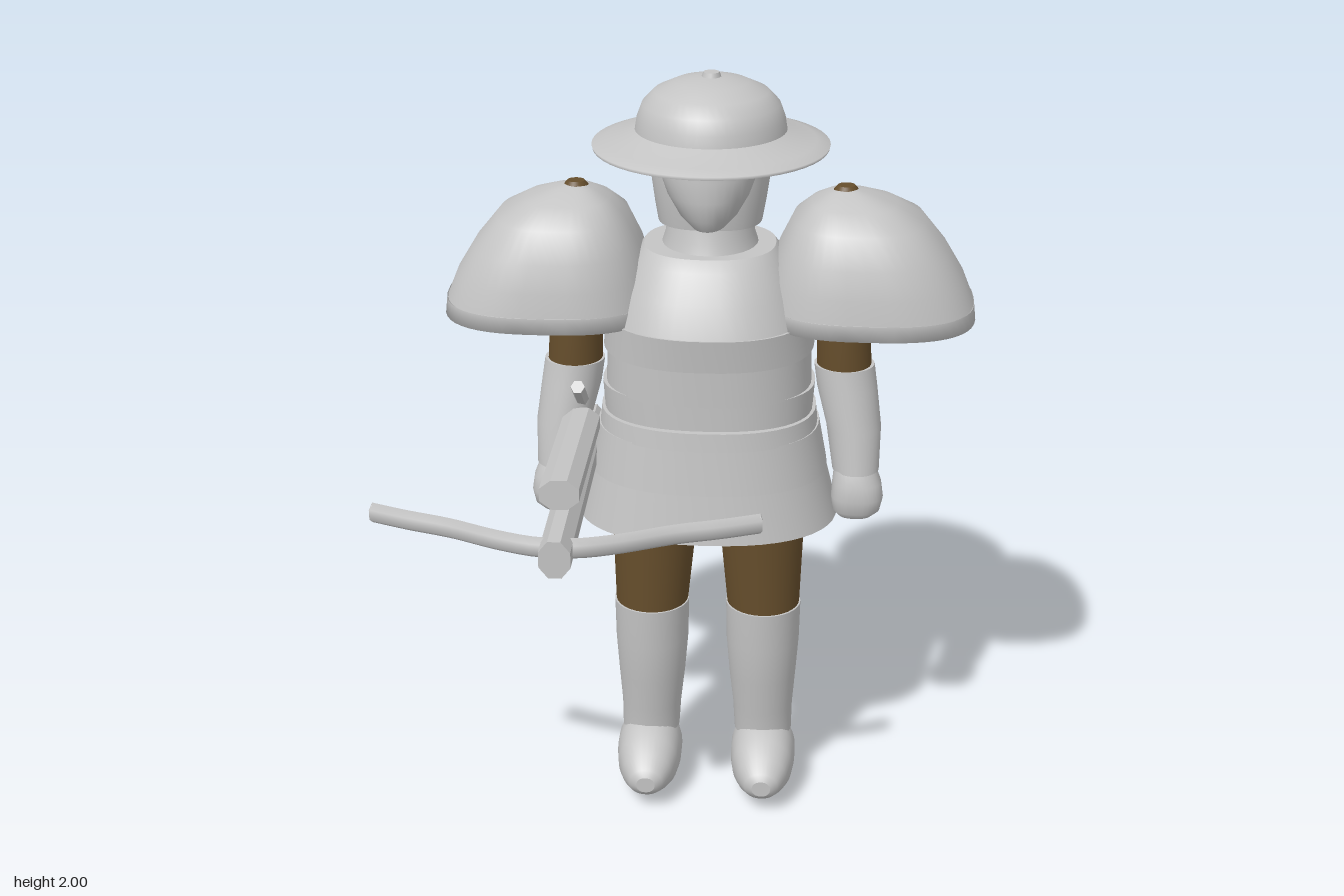
import * as THREE from 'three';

const steel = new THREE.MeshStandardMaterial({ color: 0xc4c4c4, side: THREE.DoubleSide });
steel.name = 'steel grey';
const cloth = new THREE.MeshStandardMaterial({ color: 0x664e2c, side: THREE.DoubleSide });
cloth.name = 'brown cloth';

const CX = 0.065, CZ = -0.19; // body axis

function add(parent, name, geometry, material = steel) {
  const mesh = new THREE.Mesh(geometry, material);
  mesh.name = name;
  parent.add(mesh);
  return mesh;
}

// Skin rounded cross-sections, listed top to bottom as [y, cx, cz, rx, rz]
function loft(rings, { power = 2, sides = 32, top = true, bottom = true } = {}) {
  const pos = [], idx = [];
  const bend = (v) => Math.sign(v) * Math.abs(v) ** (2 / power);
  const ring = ([y, cx, cz, rx, rz]) => {
    for (let i = 0; i < sides; i++) {
      const a = (i / sides) * Math.PI * 2;
      pos.push(cx + rx * bend(Math.cos(a)), y, cz + rz * bend(Math.sin(a)));
    }
  };
  rings.forEach(ring);
  for (let r = 0; r < rings.length - 1; r++) {
    for (let i = 0; i < sides; i++) {
      const j = (i + 1) % sides, a = r * sides, b = a + sides;
      idx.push(a + i, a + j, b + i, a + j, b + j, b + i);
    }
  }
  const cap = (r, up) => {
    const start = pos.length / 3;
    ring(r);
    pos.push(r[1], r[0], r[2]);
    for (let i = 0; i < sides; i++) {
      const j = (i + 1) % sides;
      idx.push(start + sides, start + (up ? j : i), start + (up ? i : j));
    }
  };
  if (top) cap(rings[0], true);
  if (bottom) cap(rings[rings.length - 1], false);
  const g = new THREE.BufferGeometry();
  g.setAttribute('position', new THREE.Float32BufferAttribute(pos, 3));
  g.setIndex(idx);
  g.computeVertexNormals();
  return g;
}

// Ring from front and back z limits, centred on the body
const span = (y, rx, front, back) => [y, CX, (front + back) / 2, rx, (front - back) / 2];

function lathe(points, sides = 48) {
  return new THREE.LatheGeometry(points.map(([x, y]) => new THREE.Vector2(x, y)), sides);
}

function buildHelmet() {
  const helmet = new THREE.Group();
  helmet.name = 'helmet';
  helmet.position.set(CX, 0, CZ);
  helmet.scale.z = 1.055;
  add(helmet, 'brimUnderside', lathe([[0.12, 1.835], [0.291, 1.818]]));
  add(helmet, 'brim', lathe([[0.291, 1.818], [0.293, 1.826], [0.26, 1.836], [0.22, 1.848], [0.187, 1.862]]));
  add(helmet, 'dome', lathe([[0.187, 1.86], [0.182, 1.89], [0.169, 1.925], [0.14, 1.955], [0.09, 1.978], [0.04, 1.988], [0, 1.99]]));
  add(helmet, 'knob', new THREE.CylinderGeometry(0.02, 0.026, 0.018, 12)).position.y = 1.991;
  return helmet;
}

function buildHead() {
  const head = new THREE.Group();
  head.name = 'head';
  add(head, 'hood', loft([
    span(1.845, 0.148, -0.06, -0.36), span(1.75, 0.148, -0.062, -0.36),
    span(1.68, 0.138, -0.068, -0.35), span(1.635, 0.13, -0.075, -0.335),
  ], { power: 2.6 }));
  add(head, 'face', loft([
    span(1.835, 0.122, 0.012, -0.2), span(1.78, 0.118, 0.014, -0.2), span(1.73, 0.1, 0.018, -0.2),
    span(1.68, 0.072, 0.006, -0.2), span(1.65, 0.045, -0.015, -0.2),
  ]));
  add(head, 'neck', loft([
    span(1.65, 0.105, -0.08, -0.31), span(1.6, 0.112, -0.07, -0.32), span(1.56, 0.125, -0.055, -0.335),
  ]));
  for (const s of [-1, 1]) {
    const eye = add(head, 'eye', new THREE.SphereGeometry(1, 16, 8));
    eye.scale.set(0.032, 0.009, 0.012);
    eye.position.set(CX + s * 0.062, 1.796, -0.008);
    eye.rotation.y = s * 0.3;
    const brow = add(head, 'brow', new THREE.BoxGeometry(0.07, 0.008, 0.02));
    brow.position.set(CX + s * 0.062, 1.812, -0.004);
    brow.rotation.set(0, s * 0.3, s * 0.1);
  }
  return head;
}

function buildTorso() {
  const torso = new THREE.Group();
  torso.name = 'torso';
  const opts = { power: 2.35, sides: 48 };
  add(torso, 'breastplate', loft([
    span(1.575, 0.165, -0.03, -0.345), span(1.55, 0.185, 0.0, -0.365), span(1.48, 0.222, 0.05, -0.395),
    span(1.4, 0.25, 0.08, -0.405),
  ], opts));
  add(torso, 'chestBand', loft([span(1.405, 0.257, 0.082, -0.41), span(1.32, 0.267, 0.072, -0.412)], opts));
  add(torso, 'waistPlate', loft([span(1.33, 0.258, 0.03, -0.39), span(1.21, 0.263, 0.028, -0.395)], opts));
  add(torso, 'waist', loft([span(1.215, 0.272, 0.02, -0.375), span(1.13, 0.266, 0.02, -0.378)], opts));
  add(torso, 'belt', loft([span(1.143, 0.276, 0.037, -0.408), span(1.095, 0.281, 0.042, -0.412)], opts));
  const open = { ...opts, bottom: false };
  add(torso, 'upperSkirt', loft([span(1.1, 0.285, 0.04, -0.415), span(0.98, 0.308, 0.055, -0.43)], open));
  add(torso, 'lowerSkirt', loft([span(0.99, 0.302, 0.05, -0.425), span(0.85, 0.338, 0.071, -0.442)], open));
  return torso;
}

function buildArm(s) {
  const arm = new THREE.Group();
  arm.name = s > 0 ? 'leftArm' : 'rightArm';
  const at = (y, dx, z, rx, rz) => [y, CX + s * dx, z, rx, rz];
  // Hollow shoulder guard: inner and outer x limits from the body axis
  const pad = [
    [1.72, 0.325, 0.345, 0.01], [1.708, 0.29, 0.395, 0.055], [1.685, 0.25, 0.46, 0.11], [1.645, 0.208, 0.53, 0.178],
    [1.57, 0.172, 0.592, 0.208], [1.5, 0.15, 0.635, 0.223], [1.44, 0.138, 0.66, 0.231],
  ].map(([y, a, b, rz]) => at(y, (a + b) / 2, -0.188, (b - a) / 2, rz));
  const shell = { power: 2.7, sides: 48, bottom: false };
  add(arm, 'shoulderGuard', loft(pad, shell));
  add(arm, 'shoulderRim', loft([
    at(1.44, 0.4, -0.188, 0.262, 0.233), at(1.4, 0.4, -0.188, 0.267, 0.235),
    at(1.4, 0.4, -0.188, 0.24, 0.208), at(1.46, 0.395, -0.188, 0.235, 0.205),
  ], { ...shell, top: false }));
  add(arm, 'upperArm', loft([
    at(1.724, 0.335, -0.19, 0.022, 0.022), at(1.69, 0.335, -0.19, 0.05, 0.055), at(1.62, 0.335, -0.185, 0.066, 0.076),
    at(1.4, 0.338, -0.182, 0.067, 0.079), at(1.24, 0.345, -0.182, 0.07, 0.072),
  ]), cloth);
  add(arm, 'forearmGuard', loft([
    at(1.26, 0.345, -0.18, 0.077, 0.074), at(1.2, 0.354, -0.174, 0.077, 0.076),
    at(1.1, 0.374, -0.153, 0.07, 0.071), at(0.99, 0.382, -0.13, 0.06, 0.063),
  ]));
  add(arm, 'hand', loft([
    at(1.0, 0.38, -0.125, 0.053, 0.05), at(0.96, 0.386, -0.115, 0.063, 0.056), at(0.92, 0.388, -0.112, 0.067, 0.056),
    at(0.885, 0.386, -0.11, 0.061, 0.049), at(0.867, 0.384, -0.11, 0.042, 0.034),
  ], { power: 2.4 }));
  return arm;
}

function buildLeg(s) {
  const leg = new THREE.Group();
  leg.name = s > 0 ? 'leftLeg' : 'rightLeg';
  const at = (y, dx, z, rx, rz) => [y, CX + s * dx, z, rx, rz];
  add(leg, 'thigh', loft([
    at(1.08, 0.135, -0.18, 0.118, 0.122), at(0.85, 0.14, -0.18, 0.115, 0.115), at(0.56, 0.15, -0.177, 0.096, 0.099),
  ]), cloth);
  add(leg, 'shinGuard', loft([
    at(0.573, 0.15, -0.172, 0.1, 0.1), at(0.46, 0.15, -0.177, 0.098, 0.099), at(0.35, 0.151, -0.183, 0.09, 0.094),
    at(0.25, 0.153, -0.188, 0.081, 0.08), at(0.17, 0.155, -0.188, 0.078, 0.073),
  ]));
  // Boot sections run from toe to heel: [z, low y, high y, half width]
  const boot = [
    [0.012, 0.065, 0.11, 0.025], [0.002, 0.052, 0.128, 0.045], [-0.035, 0.034, 0.158, 0.066], [-0.08, 0.015, 0.187, 0.081],
    [-0.135, 0.002, 0.208, 0.088], [-0.19, 0.008, 0.205, 0.088], [-0.24, 0.022, 0.19, 0.077],
    [-0.275, 0.055, 0.175, 0.056], [-0.294, 0.115, 0.165, 0.03],
  ].map(([z, lo, hi, w]) => at(z, 0.157, -(lo + hi) / 2, w, (hi - lo) / 2));
  add(leg, 'boot', loft(boot, { power: 2.2 }).rotateX(Math.PI / 2));
  return leg;
}

// Faceted bar between two points
function bar(parent, name, from, to, radius, sides, flatten = 1) {
  const a = new THREE.Vector3(...from), b = new THREE.Vector3(...to);
  const g = new THREE.CylinderGeometry(radius, radius, a.distanceTo(b), sides).toNonIndexed();
  g.rotateY(Math.PI / sides).scale(flatten, 1, 1);
  g.computeVertexNormals();
  const mesh = add(parent, name, g);
  mesh.position.copy(a).add(b).multiplyScalar(0.5);
  mesh.quaternion.setFromUnitVectors(new THREE.Vector3(0, 1, 0), b.sub(a).normalize());
}

function buildCrossbow() {
  const bow = new THREE.Group();
  bow.name = 'crossbow';
  const x = -0.258;
  bar(bow, 'stock', [x, 1.017, -0.33], [x, 1.017, 0.502], 0.051, 8, 0.8);
  bar(bow, 'upperRail', [x, 1.112, -0.1], [x, 1.13, 0.388], 0.04, 8, 1.28);
  bar(bow, 'lever', [x, 1.08, -0.23], [x, 1.235, -0.03], 0.018, 6);
  for (const s of [-1, 1]) {
    const path = new THREE.CatmullRomCurve3(
      [[0, 0.442], [0.06, 0.435], [0.15, 0.405], [0.27, 0.35], [0.38, 0.313], [0.471, 0.277]]
        .map(([dx, z]) => new THREE.Vector3(x + s * dx, 0, z)));
    const limb = add(bow, 'bowLimb', new THREE.TubeGeometry(path, 16, 0.019, 6));
    limb.scale.y = 1.4;
    limb.position.y = 1.018;
    const tip = add(bow, 'limbTip', new THREE.SphereGeometry(0.019, 8, 6));
    tip.scale.set(0.3, 1.3, 0.9);
    tip.position.set(x + s * 0.471, 1.018, 0.277);
  }
  return bow;
}

export function createModel() {
  const model = new THREE.Group();
  model.name = 'armouredCrossbowman';
  model.add(buildHelmet(), buildHead(), buildTorso(), buildCrossbow());
  for (const s of [-1, 1]) model.add(buildArm(s), buildLeg(s));
  return model;
}
